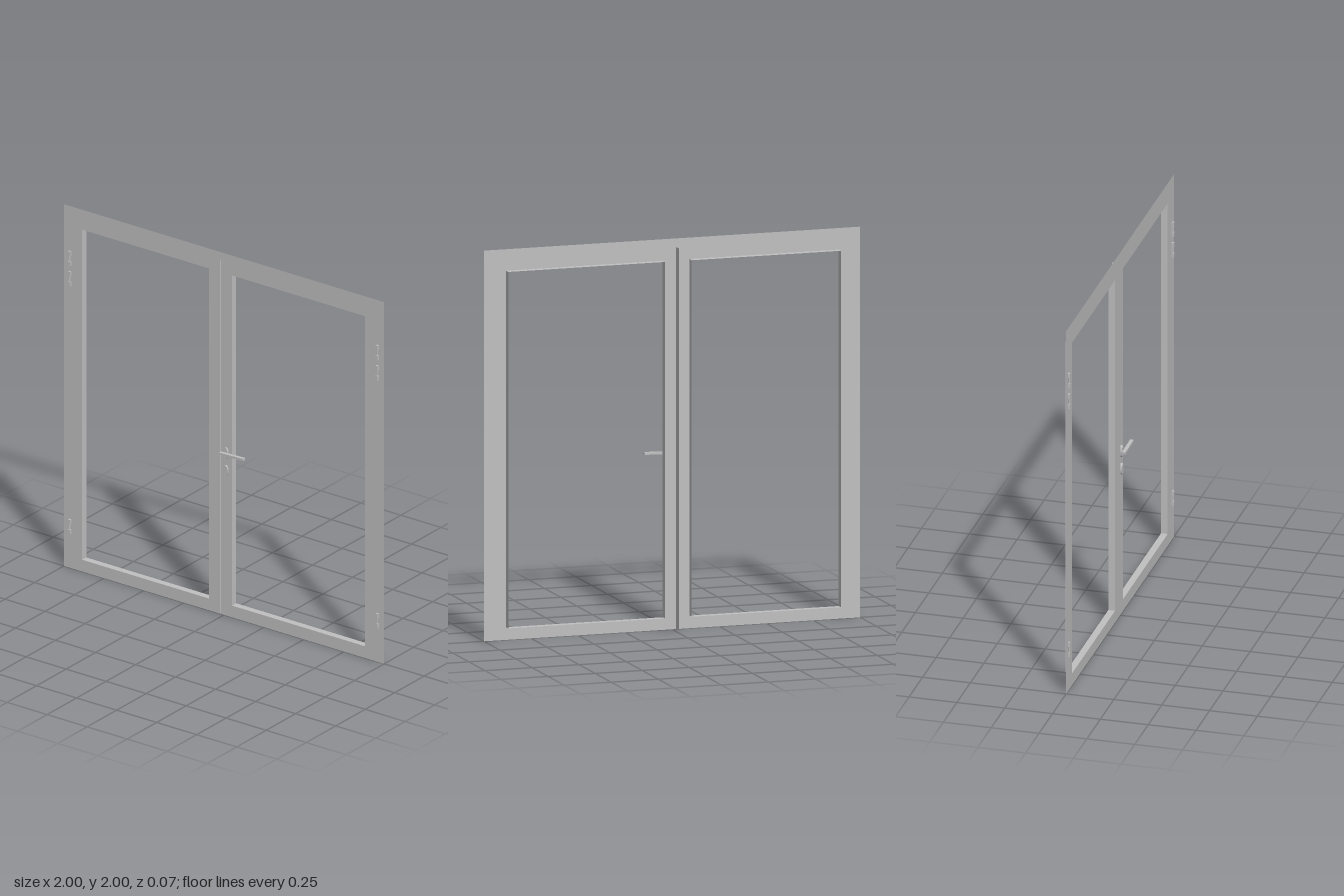
import * as THREE from 'three';

const DEPTH = 0.035, LEAF_TOP = 1.955, SEAM = -0.022;

export function createModel() {
  const root = new THREE.Group();
  root.name = 'doubleDoor';
  const grey = new THREE.MeshStandardMaterial({ color: 0xc0c0c0, side: THREE.DoubleSide });
  grey.name = 'grey';

  const add = (parent, name, geometry, x = 0, y = 0, z = 0) => {
    const mesh = new THREE.Mesh(geometry, grey);
    mesh.name = name;
    mesh.position.set(x, y, z);
    parent.add(mesh);
    return mesh;
  };
  const group = (name) => {
    const g = new THREE.Group();
    g.name = name;
    root.add(g);
    return g;
  };
  const outline = (pts) => new THREE.Shape(pts.map(([x, y]) => new THREE.Vector2(x, y)));
  const rect = (x0, y0, x1, y1) => outline([[x0, y0], [x1, y0], [x1, y1], [x0, y1]]);

  // Fixed frame: a flat surround, open at the floor
  add(root, 'frame', new THREE.ShapeGeometry(outline([
    [-1, 0], [-0.96, 0], [-0.96, LEAF_TOP], [0.96, LEAF_TOP],
    [0.96, 0], [1, 0], [1, 2], [-1, 2],
  ])));

  // Leaves: flat face with an opening, a rim behind it and a strip at the seam
  const leaf = (name, x0, x1, h0, h1, seamX) => {
    const g = group(name);
    const y0 = 0.065, y1 = 1.89;
    const face = rect(x0, 0, x1, LEAF_TOP);
    face.holes.push(rect(h0, y0, h1, y1));
    add(g, 'leafFace', new THREE.ShapeGeometry(face));
    const w = h1 - h0, h = y1 - y0;
    for (const y of [y0, y1])
      add(g, 'rimRail', new THREE.PlaneGeometry(w, DEPTH), (h0 + h1) / 2, y, -DEPTH / 2).rotation.x = -Math.PI / 2;
    for (const x of [h0, h1])
      add(g, 'rimStile', new THREE.PlaneGeometry(DEPTH, h), x, (y0 + y1) / 2, -DEPTH / 2).rotation.y = Math.PI / 2;
    add(g, 'seamStrip', new THREE.PlaneGeometry(DEPTH, LEAF_TOP), seamX, LEAF_TOP / 2, -DEPTH / 2).rotation.y = Math.PI / 2;
  };
  leaf('rightLeaf', -0.96, SEAM - 0.002, -0.886, -0.093, SEAM - 0.002);
  leaf('leftLeaf', SEAM + 0.002, 0.96, 0.05, 0.882, SEAM + 0.002);

  // Hinges: a slim plate and pin between two wider knuckles
  for (const side of [-1, 1]) {
    for (const y of [0.23, 1.6, 1.713]) {
      const g = group('hinge');
      g.position.set(side * 0.961, y, 0);
      add(g, 'hingePlate', new THREE.BoxGeometry(0.005, 0.08, 0.005), side * -0.004, 0, 0.0025);
      add(g, 'hingePin', new THREE.CylinderGeometry(0.003, 0.003, 0.04, 8), 0, 0, 0.006);
      for (const end of [-1, 1])
        add(g, 'hingeKnuckle', new THREE.BoxGeometry(0.014, 0.024, 0.011), 0, end * 0.028, 0.0055);
    }
  }

  // Handle: lever on a neck, with a rosette and a keyhole plate below
  const handle = group('handle');
  const oval = new THREE.Shape();
  oval.absellipse(0, 0, 0.014, 0.032, 0, Math.PI * 2);
  const plate = new THREE.ExtrudeGeometry(oval, { depth: 0.01, bevelEnabled: false, curveSegments: 12 });
  add(handle, 'rosette', plate, 0.015, 0.9, 0);
  add(handle, 'keyholePlate', plate, 0.015, 0.802, 0);
  add(handle, 'neck', new THREE.CylinderGeometry(0.006, 0.006, 0.024, 12), 0.01, 0.9, 0.018).rotation.x = Math.PI / 2;
  const lever = add(handle, 'lever', new THREE.BoxGeometry(0.152, 0.012, 0.018), 0.066, 0.903, 0.022);
  lever.rotation.z = 0.03;

  return root;
}
